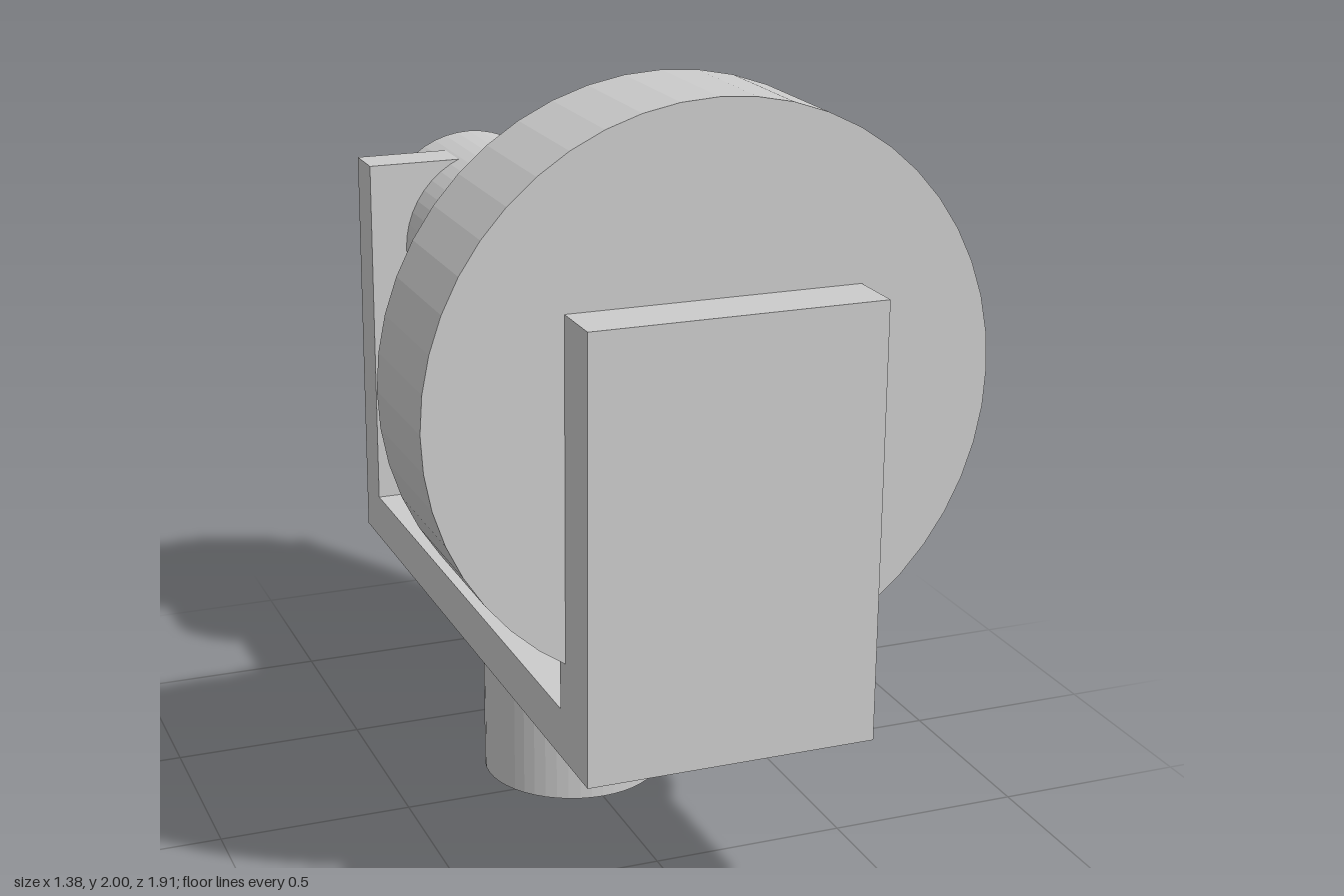
import * as THREE from 'three';

export function createModel() {
  const model = new THREE.Group();
  model.name = 'wheelOnBracket';
  const material = new THREE.MeshStandardMaterial({ color: 0xcccccc, flatShading: true });
  const axleY = 1.313;

  const add = (name, geometry) => {
    const mesh = new THREE.Mesh(geometry, material);
    mesh.name = name;
    model.add(mesh);
    return mesh;
  };

  // Round part lying along the axle, from z0 (back) to z1 (front)
  const turned = (name, radius, z0, z1) => {
    const geometry = new THREE.CylinderGeometry(radius, radius, z1 - z0, 48);
    geometry.rotateX(Math.PI / 2);
    add(name, geometry).position.set(0, axleY, (z0 + z1) / 2);
  };

  // U-shaped bracket: side profile (z, y) extruded across the width
  const width = 0.714;
  const profile = new THREE.Shape([
    [-0.835, 0.48], [0.953, 0.48], [0.953, 1.55], [0.775, 1.55],
    [0.775, 0.6], [-0.715, 0.6], [-0.715, 1.55], [-0.835, 1.55],
  ].map(([z, y]) => new THREE.Vector2(z, y)));
  const bracket = new THREE.ExtrudeGeometry(profile, { depth: width, bevelEnabled: false });
  bracket.translate(0, 0, -width / 2);
  bracket.rotateY(-Math.PI / 2);
  add('bracket', bracket);

  // Wheel, hubs and shaft share one axis
  turned('wheel', 0.688, 0.477, 0.81);
  turned('frontHub', 0.26, 0.145, 0.477);
  turned('shaft', 0.118, -0.382, 0.145);
  turned('rearHub', 0.26, -0.953, -0.382);

  // Mounting post under the bracket
  add('post', new THREE.CylinderGeometry(0.237, 0.237, 0.48, 48)).position.set(0, 0.24, -0.118);

  return model;
}
